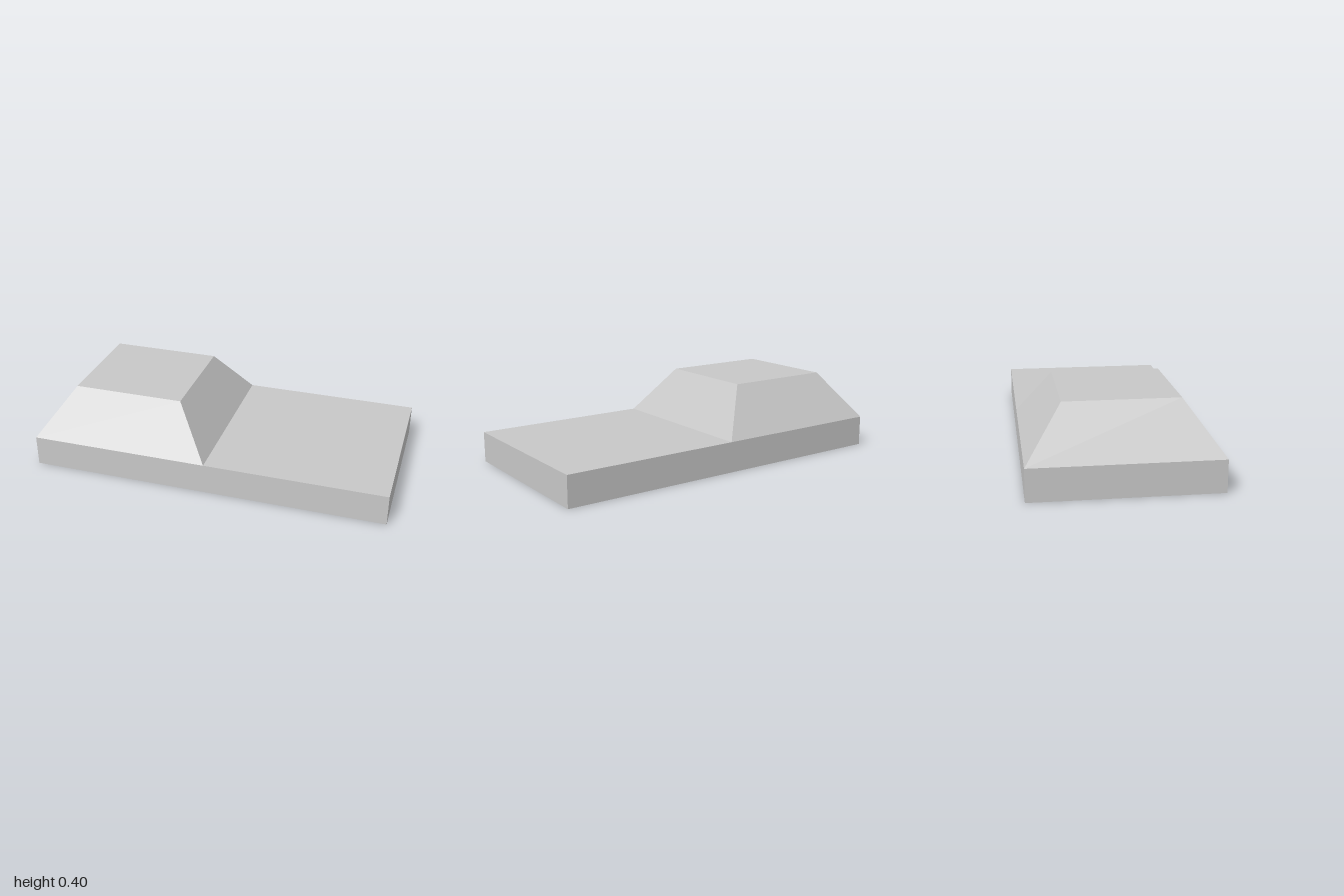
import * as THREE from 'three';

const LENGTH = 1.849, WIDTH = 0.905, WALL_H = 0.158, TOP_H = 0.402, INSET = 0.177;

// Four corners of a level rectangle, counter-clockwise from above
function rect(x0, x1, z0, z1, y) {
  return [[x0, y, z1], [x1, y, z1], [x1, y, z0], [x0, y, z0]];
}

// The four faces joining a lower rectangle to an upper one
function band(lower, upper) {
  return lower.map((p, i) => {
    const j = (i + 1) % 4;
    return [p, lower[j], upper[j], upper[i]];
  });
}

function quadMesh(name, quads, material) {
  const points = quads.flatMap(([a, b, c, d]) => [a, b, c, a, c, d]).flat();
  const geometry = new THREE.BufferGeometry();
  geometry.setAttribute('position', new THREE.Float32BufferAttribute(points, 3));
  geometry.computeVertexNormals();
  const mesh = new THREE.Mesh(geometry, material);
  mesh.name = name;
  return mesh;
}

export function createModel() {
  const grey = new THREE.MeshStandardMaterial({ color: 0xc8c8c8, side: THREE.DoubleSide });
  grey.name = 'light grey';

  const L = LENGTH / 2, W = WIDTH / 2;
  const ground = rect(-L, L, -W, W, 0);
  const eaves = rect(-L, L, -W, W, WALL_H);
  const roofBase = rect(-L, 0, -W, W, WALL_H);
  const roofTop = rect(-L + INSET, -INSET, -W + INSET, W - INSET, TOP_H);

  const model = new THREE.Group();
  model.name = 'hippedBlock';
  // Open-bottomed shell: walls, flat half and raised hipped half
  model.add(
    quadMesh('outerWalls', band(ground, eaves), grey),
    quadMesh('flatDeck', [rect(0, L, -W, W, WALL_H)], grey),
    quadMesh('roofSlopes', band(roofBase, roofTop), grey),
    quadMesh('roofTop', [roofTop], grey)
  );
  // The whole block stands diagonally
  model.rotation.y = -0.699;

  const group = new THREE.Group();
  group.add(model);
  return group;
}
